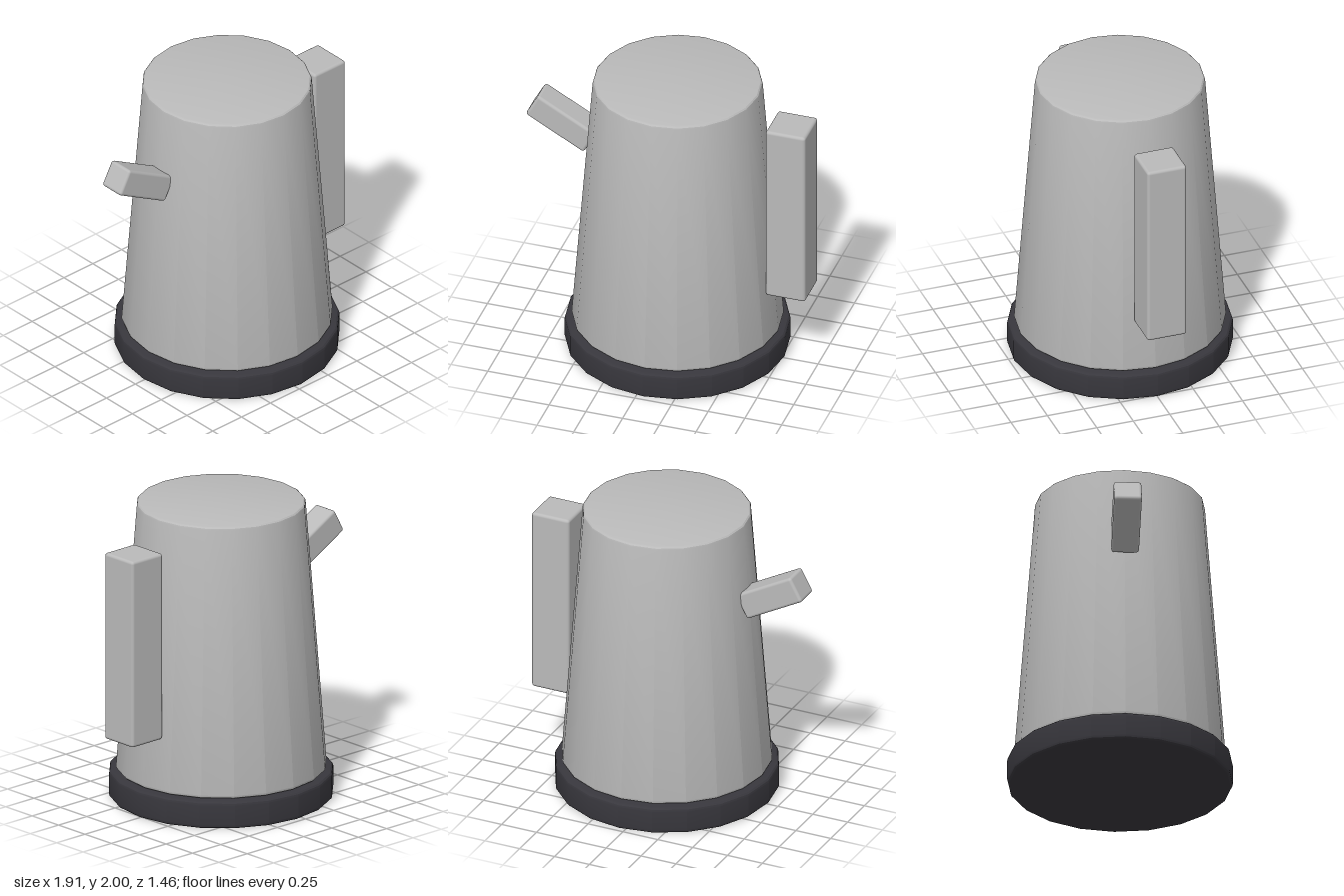
import * as THREE from 'three';
import { toCreasedNormals } from 'three/addons/utils/BufferGeometryUtils.js';
import { RoundedBoxGeometry } from 'three/addons/geometries/RoundedBoxGeometry.js';

const CENTRE_X = 0.045; // axis of the round parts
const SIDES = 20;

// Closed tapered drum with rounded rims
function drum(y0, y1, r0, r1, bevel) {
  const points = [new THREE.Vector2(0, y0)];
  const steps = 3;
  for (let i = 0; i <= steps; i++) {
    const a = (i / steps) * Math.PI / 2;
    points.push(new THREE.Vector2(r0 - bevel + bevel * Math.sin(a), y0 + bevel - bevel * Math.cos(a)));
  }
  for (let i = 0; i <= steps; i++) {
    const a = (i / steps) * Math.PI / 2;
    points.push(new THREE.Vector2(r1 - bevel + bevel * Math.cos(a), y1 - bevel + bevel * Math.sin(a)));
  }
  points.push(new THREE.Vector2(0, y1));
  return toCreasedNormals(new THREE.LatheGeometry(points, SIDES), 0.36);
}

export function createModel() {
  const group = new THREE.Group();
  const steel = new THREE.MeshStandardMaterial({ color: 0xbababa });
  steel.name = 'light grey';
  const dark = new THREE.MeshStandardMaterial({ color: 0x38373d });
  dark.name = 'dark grey';

  const add = (name, geometry, material, x, y) => {
    const mesh = new THREE.Mesh(geometry, material);
    mesh.name = name;
    mesh.position.set(x, y, 0);
    group.add(mesh);
    return mesh;
  };

  // Round parts
  add('base', drum(0, 0.185, 0.73, 0.73, 0.025), dark, CENTRE_X, 0);
  add('body', drum(0.19, 2, 0.685, 0.55, 0.022), steel, CENTRE_X, 0);

  // Upright handle on the left, tilted spout on the right
  add('handle', new RoundedBoxGeometry(0.27, 1.27, 0.27, 2, 0.02), steel, 0.82, 1.185);
  const spout = add('spout', new RoundedBoxGeometry(0.45, 0.18, 0.18, 2, 0.02), steel, -0.724, 1.554);
  spout.rotation.z = -0.5;

  return group;
}
